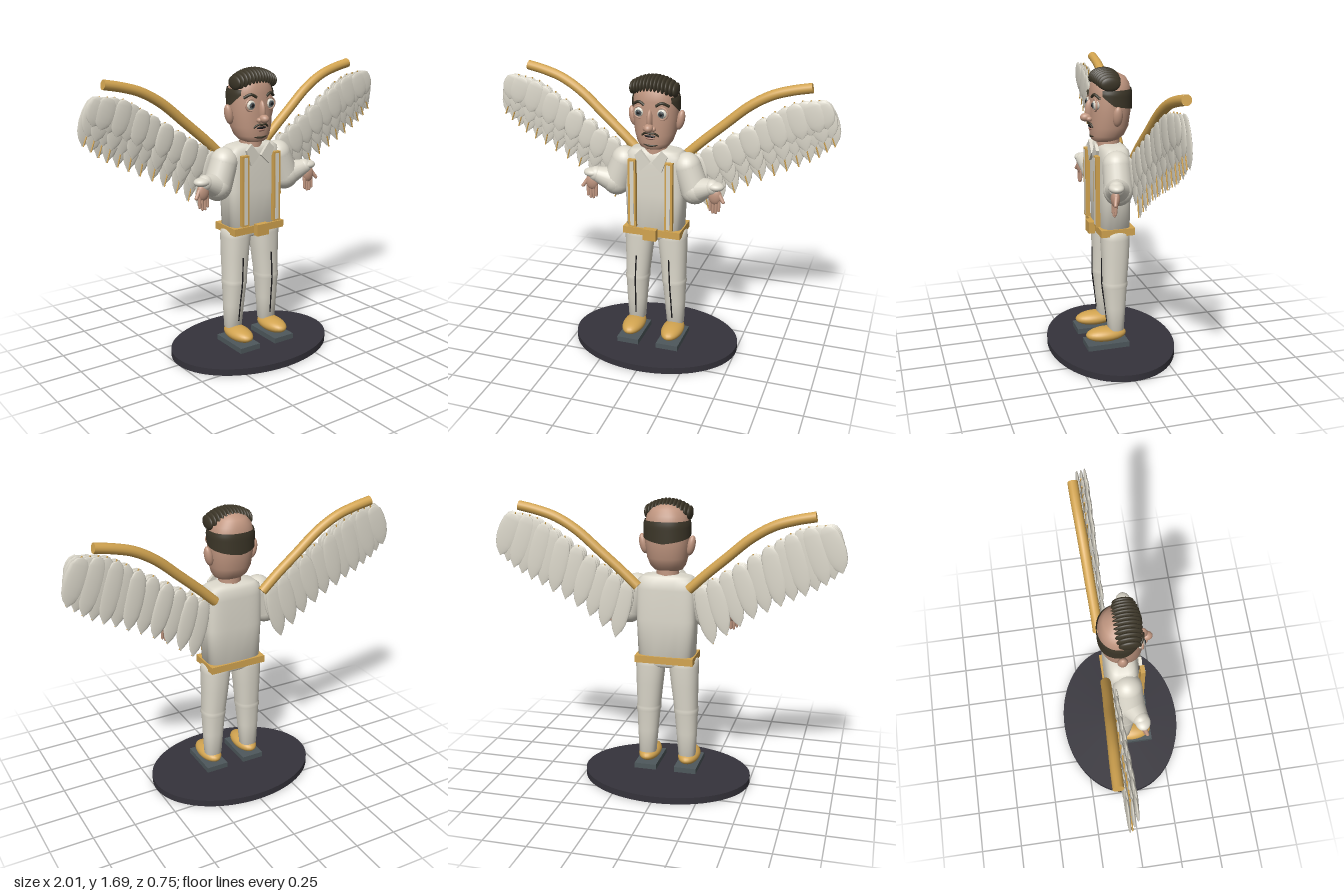
import * as THREE from 'three';

const V = (x, y, z) => new THREE.Vector3(x, y, z);
const mat = (name, color, side = THREE.FrontSide) => {
  const m = new THREE.MeshStandardMaterial({ color, side });
  m.name = name;
  return m;
};
// Point on a rounded (superellipse) outline of exponent n
const ring = (a, rx, rz, n) => {
  const p = (v) => Math.sign(v) * Math.abs(v) ** (2 / n);
  return [rx * p(Math.sin(a)), rz * p(Math.cos(a))];
};

// Closed skin over horizontal sections [y, centreX, centreZ, radiusX, radiusZ]
function loft(sections, n = 2, seg = 36) {
  const pos = [], idx = [], rows = sections.length;
  for (const [y, cx, cz, rx, rz] of sections)
    for (let i = 0; i < seg; i++) {
      const [x, z] = ring((i / seg) * Math.PI * 2, rx, rz, n);
      pos.push(cx + x, y, cz + z);
    }
  for (let r = 0; r < rows - 1; r++)
    for (let i = 0; i < seg; i++) {
      const j = (i + 1) % seg, a = r * seg + i, b = r * seg + j;
      idx.push(a, b, b + seg, a, b + seg, a + seg);
    }
  [[0, 0], [rows - 1, 1]].forEach(([r, top]) => {
    const [y, cx, cz] = sections[r], c = pos.length / 3;
    pos.push(cx, y, cz);
    for (let i = 0; i < seg; i++) {
      const a = r * seg + i, b = r * seg + (i + 1) % seg;
      top ? idx.push(c, a, b) : idx.push(c, b, a);
    }
  });
  return buffer(pos, idx);
}
function buffer(pos, idx) {
  const g = new THREE.BufferGeometry();
  g.setAttribute('position', new THREE.Float32BufferAttribute(pos, 3));
  g.setIndex(idx);
  g.computeVertexNormals();
  return g;
}

const HEAD = [
  [1.275, 0, 0.04, 0.06, 0.055], [1.285, 0, 0.03, 0.082, 0.077], [1.31, 0, 0.018, 0.1, 0.096],
  [1.36, 0, 0.008, 0.117, 0.11], [1.45, 0, 0.002, 0.127, 0.116], [1.55, 0, 0, 0.127, 0.115],
  [1.6, 0, 0, 0.113, 0.106], [1.635, 0, 0, 0.085, 0.085], [1.655, 0, 0, 0.045, 0.045], [1.66, 0, 0, 0.015, 0.015],
];
function headAt(y) {
  const i = Math.max(1, HEAD.findIndex((s) => s[0] >= y)), a = HEAD[i - 1], b = HEAD[i];
  const t = (y - a[0]) / (b[0] - a[0]);
  return a.map((v, k) => v + (b[k] - v) * t);
}
// Band of hair round the back of the head, tapering to the temples
function hairBand() {
  const pos = [], idx = [], cols = 40, rows = 8;
  for (let i = 0; i <= cols; i++) {
    const a = (i / cols - 0.5) * 2 * 2.2, f = Math.abs(a);
    const low = f < 1.6 ? 1.45 + 0.02 * f : 1.482 + (f - 1.6) * 0.1;
    for (let j = 0; j <= rows; j++) {
      const y = low + (1.572 - low) * (j / rows), [, , cz, rx, rz] = headAt(y);
      const [x, z] = ring(a + Math.PI, rx + 0.007, rz + 0.007, 2.2);
      pos.push(x, y, cz + z);
      if (i < cols && j < rows) {
        const p = i * (rows + 1) + j, q = p + rows + 1;
        idx.push(p, q, q + 1, p, q + 1, p + 1);
      }
    }
  }
  return buffer(pos, idx);
}

export function createModel() {
  const model = new THREE.Group();
  const white = mat('white cloth', 0xdcd8cb), skin = mat('skin', 0xc09680), gold = mat('gold', 0xd2a450);
  const hair = mat('dark hair', 0x3c3628, THREE.DoubleSide), stand = mat('stand', 0x35333b);
  const slate = mat('slate', 0x4e585c), black = mat('black', 0x1b1a1c), lip = mat('lip', 0xa87868);

  const add = (name, geo, m, x = 0, y = 0, z = 0) => {
    const mesh = new THREE.Mesh(geo, m);
    mesh.name = name;
    mesh.position.set(x, y, z);
    model.add(mesh);
    return mesh;
  };
  const box = (name, m, w, h, d, x, y, z) => add(name, new THREE.BoxGeometry(w, h, d), m, x, y, z);
  const ball = (name, m, rx, ry, rz, x, y, z) => {
    const b = add(name, new THREE.SphereGeometry(1, 28, 18), m, x, y, z);
    b.scale.set(rx, ry, rz);
    return b;
  };
  const tube = (name, m, r, pts, seg = 24) =>
    add(name, new THREE.TubeGeometry(new THREE.CatmullRomCurve3(pts), seg, r, 14), m);
  // Tapered rod with round ends
  const limb = (name, m, a, b, ra, rb) => {
    const d = b.clone().sub(a), c = a.clone().add(b).multiplyScalar(0.5);
    const rod = add(name, new THREE.CylinderGeometry(rb, ra, d.length(), 24, 1, true), m, c.x, c.y, c.z);
    rod.quaternion.setFromUnitVectors(V(0, 1, 0), d.normalize());
    ball(name + 'Start', m, ra, ra, ra, a.x, a.y, a.z);
    ball(name + 'End', m, rb, rb, rb, b.x, b.y, b.z);
  };

  // Stand
  add('stand', new THREE.CylinderGeometry(0.505, 0.505, 0.04, 72), stand, 0, 0.02, 0).scale.z = 0.743;

  // Torso, hips, neck and belt
  add('torso', loft([[0.77, 0, 0, 0.165, 0.09], [1.0, 0, 0, 0.174, 0.093], [1.18, 0, 0, 0.172, 0.092],
    [1.23, 0, 0, 0.165, 0.083], [1.25, 0, 0, 0.14, 0.068], [1.262, 0, 0, 0.08, 0.05]], 4, 48), white);
  add('hips', loft([[0.715, 0, 0, 0.09, 0.065], [0.73, 0, 0, 0.12, 0.078], [0.78, 0, 0, 0.15, 0.085]], 4), white);
  box('belt', gold, 0.345, 0.042, 0.2, 0, 0.767, 0);
  box('buckle', gold, 0.08, 0.068, 0.035, 0, 0.767, 0.12);
  add('neck', new THREE.CylinderGeometry(0.062, 0.066, 0.09, 28), skin, 0, 1.28, 0.01);

  // Head, ears and hair
  add('head', loft(HEAD, 2.2, 48), skin);
  add('hairBand', hairBand(), hair);
  for (let i = -6; i <= 6; i++) {
    const t = i / 6, k = Math.sqrt(1 - 0.5 * t * t);
    ball('quiffLock', hair, 0.016, 0.056 * k, 0.08 * k, t * 0.122, 1.63 - 0.022 * t * t, 0.032);
  }

  // Face
  ball('noseBridge', skin, 0.017, 0.06, 0.03, 0, 1.45, 0.115);
  ball('noseTip', skin, 0.026, 0.024, 0.033, 0, 1.411, 0.14);
  tube('moustache', hair, 0.006, [V(-0.048, 1.36, 0.107), V(-0.022, 1.378, 0.121), V(0, 1.375, 0.124),
    V(0.022, 1.378, 0.121), V(0.048, 1.36, 0.107)]);
  ball('mouth', black, 0.032, 0.008, 0.008, 0, 1.358, 0.115);
  ball('lowerLip', lip, 0.028, 0.008, 0.012, 0, 1.345, 0.111);
  tube('goatee', hair, 0.006, [V(-0.04, 1.308, 0.102), V(0, 1.302, 0.112), V(0.04, 1.308, 0.102)]);

  // Feather: a flat leaf from a round root to a pointed tip
  const leaf = new THREE.LatheGeometry([[0, -1], [0.1, -0.95], [0.27, -0.87], [0.42, -0.74], [0.5, -0.55],
    [0.5, -0.35], [0.42, -0.15], [0.25, -0.04], [0, 0]].map(([x, y]) => new THREE.Vector2(x, y)), 16);
  const flap = new THREE.Shape([[0.005, 1.2], [0.062, 1.145], [0.095, 1.235], [0.06, 1.27]]
    .map(([x, y]) => new THREE.Vector2(x, y)));
  const flapMirror = new THREE.Shape(flap.getPoints().map((p) => new THREE.Vector2(-p.x, p.y)));

  for (const s of [1, -1]) {
    // Foot pad, shoe, trouser leg and front seam
    box('footPad', slate, 0.134, 0.032, 0.25, s * 0.123, 0.072, 0.06);
    ball('shoe', gold, 0.065, 0.043, 0.122, s * 0.123, 0.127, 0.06);
    add('leg', loft([[0.155, s * 0.122, 0, 0.052, 0.047], [0.3, s * 0.119, 0.003, 0.061, 0.06],
      [0.42, s * 0.115, 0.005, 0.068, 0.07], [0.43, s * 0.115, 0.005, 0.072, 0.074], [0.452, s * 0.114, 0.005, 0.072, 0.074],
      [0.462, s * 0.113, 0.005, 0.07, 0.072], [0.6, s * 0.106, 0, 0.079, 0.079], [0.72, s * 0.1, 0, 0.087, 0.084],
      [0.755, s * 0.1, 0, 0.085, 0.082], [0.768, s * 0.1, 0, 0.072, 0.07]], 2.3), white);
    tube('legSeam', black, 0.004, [V(s * 0.1, 0.6, 0.079), V(s * 0.107, 0.44, 0.08), V(s * 0.112, 0.3, 0.063), V(s * 0.115, 0.2, 0.052)]);

    // Brace with a pale inset, and collar
    box('brace', gold, 0.046, 0.41, 0.025, s * 0.109, 1.005, 0.108);
    box('braceInset', white, 0.022, 0.39, 0.003, s * 0.108, 1.005, 0.121);
    add('collarFlap', new THREE.ExtrudeGeometry(s > 0 ? flap : flapMirror, { depth: 0.018, bevelEnabled: false }), white, 0, 0, 0.09);

    // Eye, eyelid, eyebrow, nostril and ear
    ball('eyeball', white, 0.031, 0.029, 0.024, s * 0.065, 1.488, 0.097);
    ball('iris', slate, 0.017, 0.017, 0.005, s * 0.065, 1.488, 0.118);
    ball('pupil', black, 0.009, 0.009, 0.004, s * 0.065, 1.488, 0.122);
    add('eyelid', new THREE.TorusGeometry(0.032, 0.006, 10, 28), skin, s * 0.065, 1.488, 0.104);
    tube('eyebrow', hair, 0.008, [V(s * 0.032, 1.53, 0.113), V(s * 0.065, 1.547, 0.108), V(s * 0.102, 1.528, 0.086)]);
    ball('nostril', skin, 0.014, 0.014, 0.017, s * 0.024, 1.404, 0.126);
    ball('ear', skin, 0.024, 0.058, 0.028, s * 0.138, 1.43, -0.005).rotation.z = -s * 0.2;

    // Sleeve, cuff and hand
    limb('upperSleeve', white, V(s * 0.185, 1.17, 0.015), V(s * 0.235, 1.035, 0.02), 0.08, 0.082);
    limb('foreSleeve', white, V(s * 0.24, 1.04, 0.025), V(s * 0.345, 1.08, 0.065), 0.08, 0.045);
    ball('cuff', white, 0.05, 0.026, 0.042, s * 0.367, 1.09, 0.072);
    ball('palm', skin, 0.038, 0.05, 0.024, s * 0.367, 1.035, 0.078);
    for (let f = 0; f < 4; f++) {
      const x = s * (0.341 + f * 0.017);
      limb('finger', skin, V(x, 1.01, 0.08), V(x, 0.945 - (f % 3 ? 0.005 : -0.008), 0.084), 0.01, 0.008);
    }
    limb('thumb', skin, V(s * 0.39, 1.05, 0.08), V(s * 0.418, 1.01, 0.092), 0.012, 0.01);

    // Wing rod with closed ends
    const rod = [V(s * 0.15, 1.2, -0.1), V(s * 0.24, 1.285, -0.103), V(s * 0.36, 1.39, -0.11), V(s * 0.5, 1.51, -0.117),
      V(s * 0.62, 1.58, -0.123), V(s * 0.73, 1.615, -0.128), V(s * 0.835, 1.637, -0.13)];
    tube('wingRod', gold, 0.028, rod, 48);
    [[rod[0], rod[1]], [rod[6], rod[5]]].forEach(([end, next]) => {
      const cap = add('wingRodEnd', new THREE.CircleGeometry(0.028, 14), gold, end.x, end.y, end.z);
      cap.quaternion.setFromUnitVectors(V(0, 0, 1), end.clone().sub(next).normalize());
    });

    // Three overlapping rows of feathers, longest at the back
    const roots = new THREE.CatmullRomCurve3([V(0.21, 1.22, 0), V(0.4, 1.345, 0), V(0.62, 1.485, 0), V(0.76, 1.565, 0), V(0.88, 1.585, 0)]);
    const tips = new THREE.CatmullRomCurve3([V(0.29, 0.885, 0), V(0.5, 1.04, 0), V(0.7, 1.15, 0), V(0.87, 1.24, 0), V(0.985, 1.335, 0)]);
    const count = 12;
    [[1, -0.093], [0.8, -0.07], [0.58, -0.05]].forEach(([reach, z]) => {
      for (let i = 0; i < count; i++) {
        const t = i / (count - 1), a = roots.getPoint(t), d = tips.getPoint(t).sub(a);
        const len = d.length() * reach, turn = s * Math.atan2(d.x, -d.y);
        const feather = add('feather', leaf, white, s * a.x, a.y, z - 0.004 * (i % 2));
        feather.scale.set(0.105 + 0.02 * t, len, 0.02);
        feather.rotation.z = turn;
        if (reach === 1) {
          const quill = add('quill', new THREE.CylinderGeometry(0.004, 0.004, len, 8), gold,
            s * (a.x + d.x * 0.49), a.y + d.y * 0.49, z + 0.011);
          quill.rotation.z = turn;
        }
      }
    });
  }
  return model;
}
